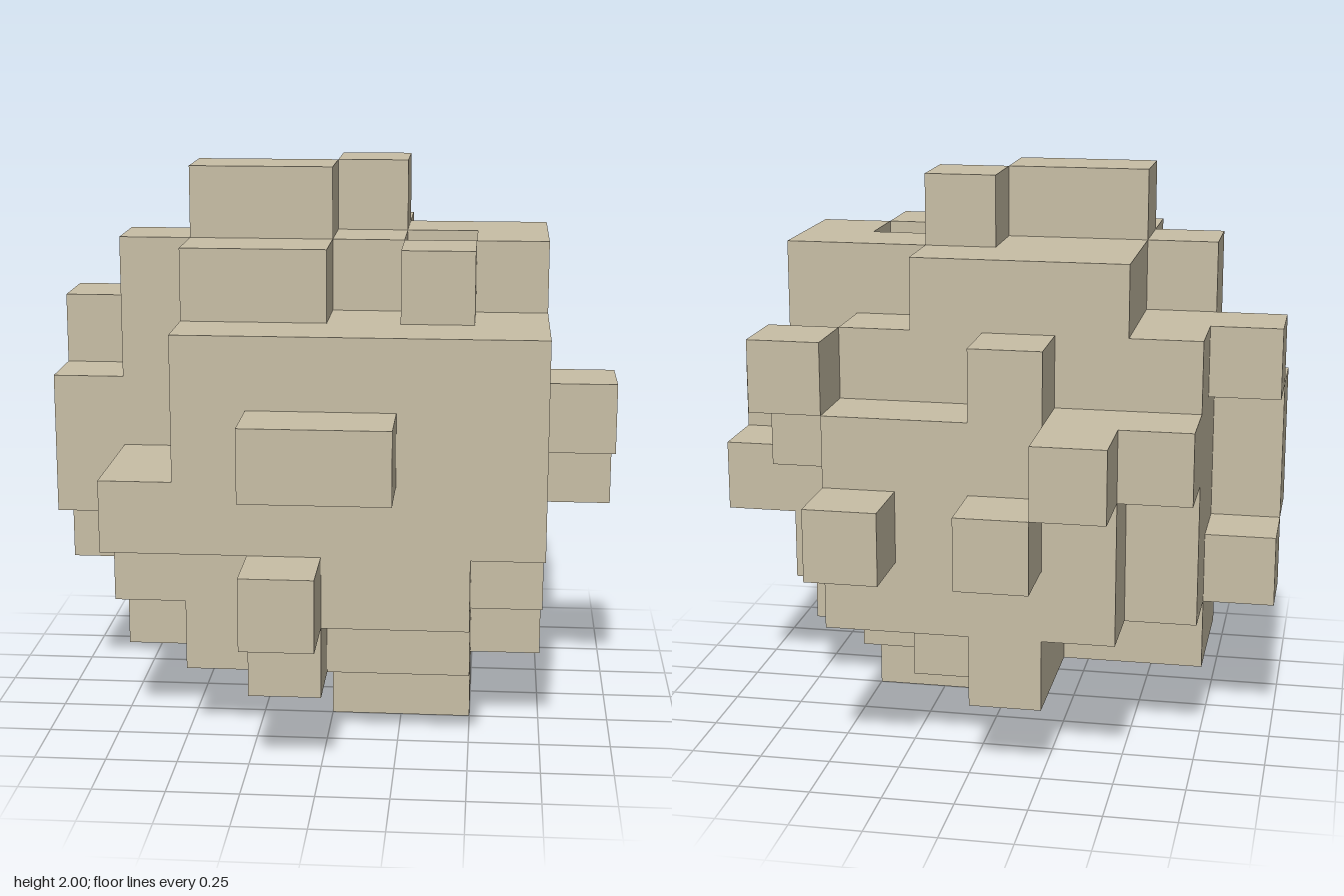
import * as THREE from 'three';

const N = 8;            // cells per side
const CELL = 2 / N;     // cell size

// Horizontal layers from bottom to top; each run is [x, first z, last z] in cells
const LAYERS = [
  [[4, 4, 4], [5, 4, 4]],
  [[1, 3, 4], [2, 3, 5], [3, 1, 6], [4, 2, 5], [5, 3, 5], [6, 4, 4]],
  [[0, 3, 3], [1, 2, 5], [2, 1, 5], [3, 1, 7], [4, 1, 6], [5, 1, 6], [6, 3, 5]],
  [[0, 4, 4], [1, 2, 6], [2, 1, 6], [3, 0, 6], [4, 1, 6], [5, 0, 6], [6, 3, 4], [6, 6, 6], [7, 3, 3]],
  [[0, 4, 4], [1, 1, 4], [2, 0, 6], [3, 1, 7], [4, 1, 7], [5, 1, 6], [6, 2, 6], [7, 4, 4]],
  [[0, 3, 3], [1, 2, 4], [2, 2, 6], [3, 1, 6], [4, 2, 6], [5, 2, 6], [6, 1, 1], [6, 3, 6]],
  [[1, 4, 4], [2, 2, 5], [3, 2, 5], [4, 2, 4], [5, 3, 3], [5, 5, 5], [6, 3, 4]],
  [[2, 4, 4], [3, 4, 4], [4, 3, 3]],
];

// Skin of the filled cells: one quad for every face with an empty neighbour
function cellSkin(filled, layer) {
  const positions = [], normals = [], indices = [];
  const has = (c) => filled.has(c.join());
  for (let x = 0; x < N; x++) for (let z = 0; z < N; z++) {
    const cell = [x, layer, z];
    if (!has(cell)) continue;
    for (let axis = 0; axis < 3; axis++) for (const side of [-1, 1]) {
      const neighbour = [...cell];
      neighbour[axis] += side;
      if (has(neighbour)) continue;
      const u = (axis + 1) % 3, v = (axis + 2) % 3;
      const start = positions.length / 3;
      for (const [a, b] of [[0, 0], [1, 0], [1, 1], [0, 1]]) {
        const p = [...cell];
        p[axis] += side > 0 ? 1 : 0;
        p[u] += a;
        p[v] += b;
        positions.push(p[0] * CELL - 1, p[1] * CELL, p[2] * CELL - 1);
        const n = [0, 0, 0];
        n[axis] = side;
        normals.push(...n);
      }
      const order = side > 0 ? [0, 1, 2, 0, 2, 3] : [0, 2, 1, 0, 3, 2];
      indices.push(...order.map((i) => start + i));
    }
  }
  const geometry = new THREE.BufferGeometry();
  geometry.setAttribute('position', new THREE.Float32BufferAttribute(positions, 3));
  geometry.setAttribute('normal', new THREE.Float32BufferAttribute(normals, 3));
  geometry.setIndex(indices);
  return geometry;
}

export function createModel() {
  const group = new THREE.Group();
  group.name = 'blockCluster';
  const stone = new THREE.MeshStandardMaterial({ color: 0xc8bea5 });
  stone.name = 'sandstone';

  const filled = new Set();
  LAYERS.forEach((runs, y) => {
    for (const [x, z0, z1] of runs) for (let z = z0; z <= z1; z++) filled.add([x, y, z].join());
  });

  // One mesh per layer of blocks
  LAYERS.forEach((runs, y) => {
    const mesh = new THREE.Mesh(cellSkin(filled, y), stone);
    mesh.name = `blockLayer${y + 1}`;
    group.add(mesh);
  });
  return group;
}
